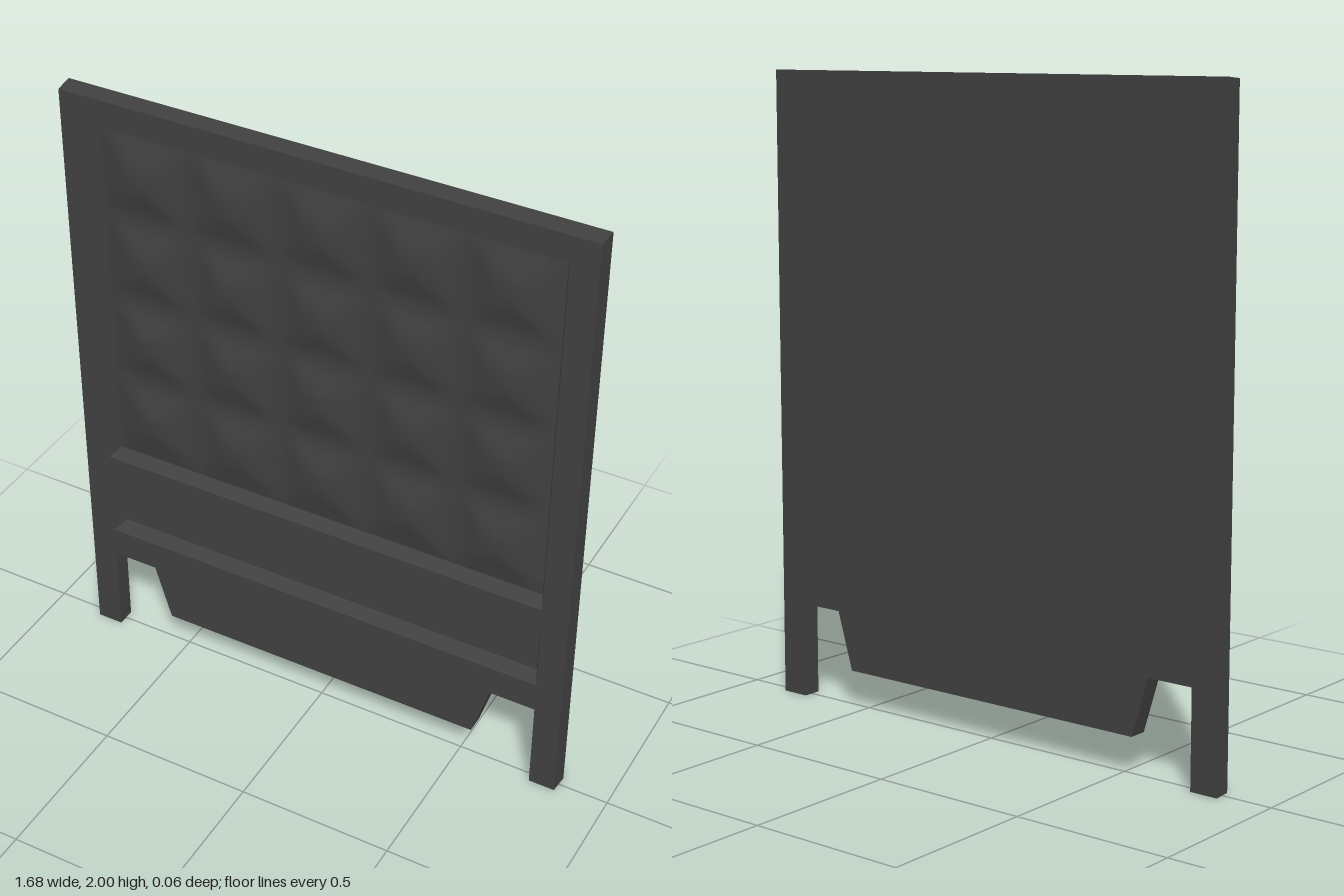
import * as THREE from 'three';

const BACK = -0.03, FLOOR = -0.015, FRONT = 0.03;
const INSET = 0.02; // slope of the recess walls
const HALF = 0.75;  // half width of both recesses
const RECESSES = [[0.705, 1.91], [0.405, 0.625]];

// Panel silhouette: two feet and a tapered skirt between them
function outline() {
  const right = [[0.545, 0.12], [0.6, 0.305], [0.75, 0.305], [0.75, 0], [0.84, 0], [0.84, 2]];
  const left = right.map(([x, y]) => [-x, y]).reverse();
  return new THREE.Shape([...right, ...left].map(([x, y]) => new THREE.Vector2(x, y)));
}

// Extrude between two depths, then narrow the outside slightly toward the front
function slab(shape, z0, z1, adjust) {
  const geo = new THREE.ExtrudeGeometry(shape, { depth: z1 - z0, bevelEnabled: false });
  geo.translate(0, 0, z0);
  const p = geo.attributes.position;
  const v = new THREE.Vector3();
  for (let i = 0; i < p.count; i++) {
    v.fromBufferAttribute(p, i);
    const draft = 0.005 * (v.z - BACK) / (FRONT - BACK);
    if (Math.abs(v.x) > 0.83) v.x -= Math.sign(v.x) * draft;
    if (v.y > 1.99) v.y -= draft;
    if (adjust) adjust(v);
    p.setXYZ(i, v.x, v.y, v.z);
  }
  geo.computeVertexNormals();
  return geo;
}

// Front frame with two openings whose walls slope inward to the floor
function frameGeometry() {
  const shape = outline();
  for (const [y0, y1] of RECESSES) {
    shape.holes.push(new THREE.Path([[-HALF, y0], [-HALF, y1], [HALF, y1], [HALF, y0]]
      .map(([x, y]) => new THREE.Vector2(x, y))));
  }
  return slab(shape, FLOOR, FRONT, (v) => {
    if (v.z > 0 || Math.abs(Math.abs(v.x) - HALF) > 0.001) return;
    for (const [y0, y1] of RECESSES) {
      const low = Math.abs(v.y - y0) < 0.001;
      if (!low && Math.abs(v.y - y1) > 0.001) continue;
      v.x -= Math.sign(v.x) * INSET;
      v.y += low ? INSET : -INSET;
      return;
    }
  });
}

// Soft blunt pyramids in a 5 by 4 grid, one shared smooth surface
function reliefGeometry(cols, rows) {
  const steps = [-1, -0.68, -0.36, 0, 0.36, 0.68];
  const [y0, y1] = RECESSES[0];
  const w = 2 * (HALF - INSET) / cols, h = (y1 - y0 - 2 * INSET) / rows;
  const nx = cols * steps.length, ny = rows * steps.length;
  const local = (i) => steps[i % steps.length];
  const at = (i) => Math.floor(i / steps.length) + (local(i) + 1) / 2;
  const height = (r) => r > 0.9 ? 0 : r > 0.6 ? 0.009 : r > 0.3 ? 0.026 : 0.028;
  const pos = [], index = [];
  for (let j = 0; j <= ny; j++) {
    for (let i = 0; i <= nx; i++) {
      const r = Math.max(Math.abs(local(i)), Math.abs(local(j)));
      pos.push(-HALF + INSET + at(i) * w, y0 + INSET + at(j) * h, FLOOR + 0.001 + height(r));
    }
  }
  for (let j = 0; j < ny; j++) {
    for (let i = 0; i < nx; i++) {
      const a = j * (nx + 1) + i, b = a + 1, d = a + nx + 1, c = d + 1;
      // run each diagonal along the pyramid ridge
      const sameSign = (i % steps.length < 3) === (j % steps.length < 3);
      if (sameSign) index.push(a, b, c, a, c, d);
      else index.push(a, b, d, b, c, d);
    }
  }
  const geo = new THREE.BufferGeometry();
  geo.setAttribute('position', new THREE.Float32BufferAttribute(pos, 3));
  geo.setIndex(index);
  geo.computeVertexNormals();
  return geo;
}

export function createModel() {
  const concrete = new THREE.MeshStandardMaterial({ color: 0x404040 });
  concrete.name = 'dark concrete';
  const group = new THREE.Group();
  group.name = 'fencePanel';
  const add = (name, geo) => {
    const mesh = new THREE.Mesh(geo, concrete);
    mesh.name = name;
    group.add(mesh);
  };
  add('backSlab', slab(outline(), BACK, FLOOR));
  add('frontFrame', frameGeometry());
  add('pyramidRelief', reliefGeometry(5, 4));
  return group;
}
